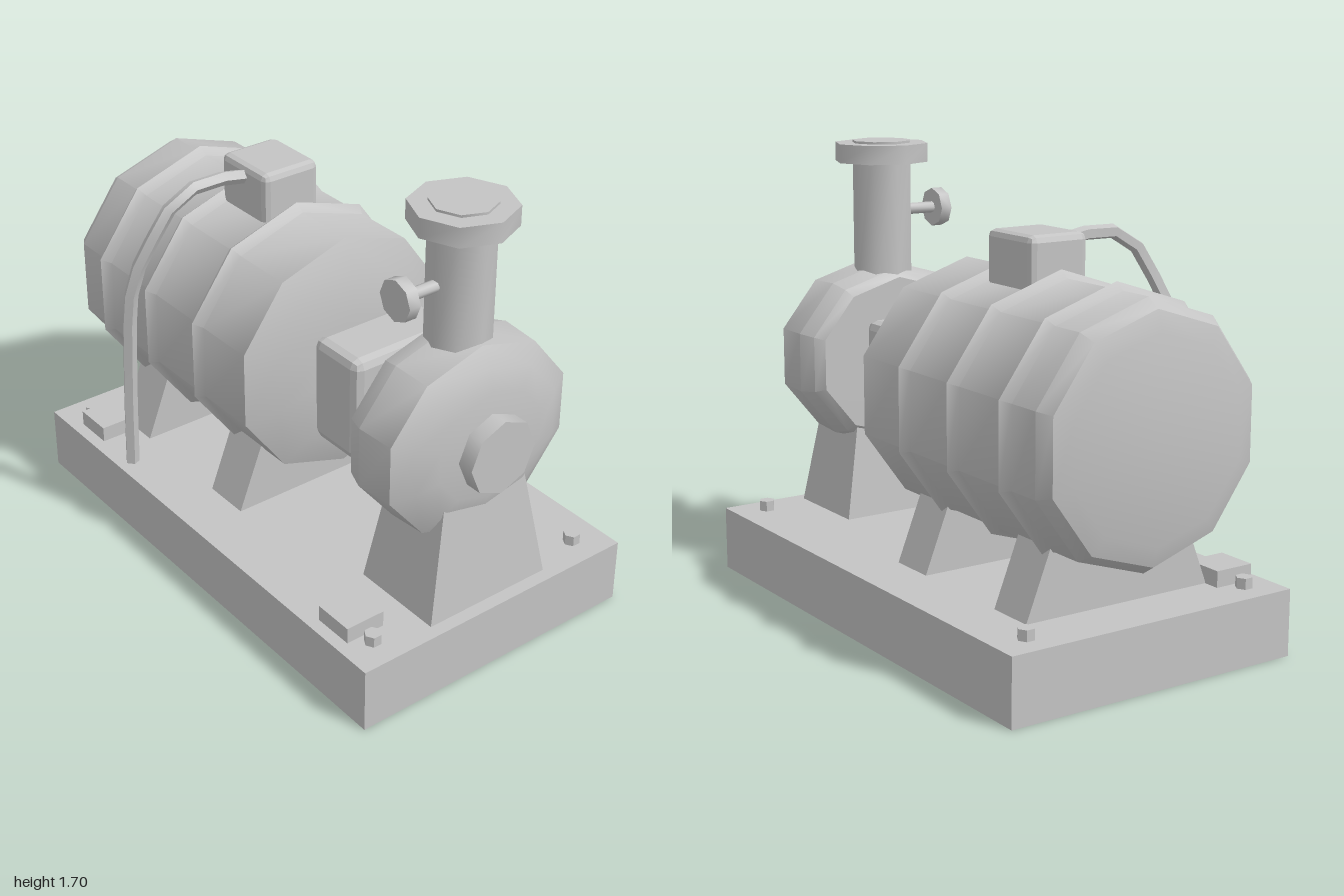
import * as THREE from 'three';
import { toCreasedNormals } from 'three/addons/utils/BufferGeometryUtils.js';
import { RoundedBoxGeometry } from 'three/addons/geometries/RoundedBoxGeometry.js';

export function createModel() {
  const model = new THREE.Group();
  const grey = new THREE.MeshStandardMaterial({ color: 0xc4c4c4, side: THREE.DoubleSide });
  grey.name = 'machineGrey';

  const add = (name, geometry, x = 0, y = 0, z = 0) => {
    const mesh = new THREE.Mesh(geometry, grey);
    mesh.name = name;
    mesh.position.set(x, y, z);
    model.add(mesh);
    return mesh;
  };

  // Ten-sided body turned about the x axis; profile is [x, radius] pairs
  const turned = (profile) => {
    const points = profile.map(([x, r]) => new THREE.Vector2(r, x));
    const g = new THREE.LatheGeometry(points, 10);
    g.rotateY(Math.PI / 2);
    g.rotateZ(-Math.PI / 2);
    return toCreasedNormals(g, 0.68);
  };

  // Box whose top is narrower than its base
  const tapered = (w, h, d, topX, topZ) => {
    const g = new THREE.BoxGeometry(w, h, d).toNonIndexed();
    const p = g.attributes.position;
    for (let i = 0; i < p.count; i++) {
      if (p.getY(i) > 0) p.setXYZ(i, p.getX(i) * topX, p.getY(i), p.getZ(i) * topZ);
    }
    g.computeVertexNormals();
    return g;
  };

  const chamfered = (w, h, d, bevel) => {
    let g = new RoundedBoxGeometry(w, h, d, 1, bevel);
    if (g.index) g = g.toNonIndexed();
    g.computeVertexNormals();
    return g;
  };

  // Upright cylinder, eased around its sides
  const round = (r, h, sides) =>
    toCreasedNormals(new THREE.CylinderGeometry(r, r, h, sides), 0.9);

  // Base tray, open underneath
  const tray = new THREE.BoxGeometry(2, 0.245, 1.17);
  const index = Array.from(tray.index.array);
  index.splice(18, 6);
  tray.setIndex(index);
  tray.clearGroups();
  add('base', tray, 0, 0.1225, -0.005);

  // Motor barrel with three ridges and shallow domed ends
  const barrel = [[-0.995, 0], [-0.99, 0.36], [-0.97, 0.43], [-0.92, 0.463]];
  for (const x of [-0.755, -0.45, -0.145]) {
    barrel.push([x - 0.035, 0.463], [x, 0.49], [x + 0.035, 0.463]);
  }
  barrel.push([0.135, 0.463], [0.182, 0.34], [0.198, 0.18], [0.2, 0]);
  add('motorBarrel', turned(barrel), 0, 0.85, -0.007);

  // Motor feet
  for (const x of [-0.695, -0.08]) {
    add('motorFoot', tapered(0.185, 0.34, 0.765, 1, 0.65), x, 0.415, -0.003);
  }

  // Terminal box and coupling guard
  add('terminalBox', chamfered(0.27, 0.28, 0.24, 0.025), -0.31, 1.32, -0.01);
  add('couplingGuard', chamfered(0.243, 0.405, 0.455, 0.035), 0.367, 0.845, -0.007);

  // Pump casing, inlet hub and pedestal
  const casing = add('pumpCasing', turned([
    [0.61, 0], [0.612, 0.35], [0.64, 0.385], [0.71, 0.41],
    [0.86, 0.4], [0.9, 0.32], [0.92, 0.23], [0.925, 0],
  ]), 0, 0.863, -0.005);
  casing.scale.y = 0.89;
  add('inletHub', round(0.14, 0.16, 8).rotateZ(Math.PI / 2), 0.905, 0.848, -0.005);
  add('pumpPedestal', tapered(0.367, 0.435, 0.52, 0.75, 0.69), 0.767, 0.4625, -0.005);

  // Outlet pipe and flange
  add('outletPipe', round(0.115, 0.59, 8), 0.735, 1.4, -0.007);
  add('outletFlange', round(0.184, 0.072, 8), 0.735, 1.65, -0.007);
  add('flangeFace', round(0.115, 0.03, 8), 0.735, 1.68, -0.007);

  // Valve stem and handwheel on the front of the pipe
  add('valveStem', round(0.022, 0.16, 8).rotateX(Math.PI / 2), 0.735, 1.42, 0.16);
  add('valveWheel', round(0.075, 0.045, 8).rotateX(Math.PI / 2), 0.735, 1.42, 0.245);

  // Cable dropping from the terminal box to the base
  const cable = new THREE.CatmullRomCurve3([
    [-0.31, 1.41, 0.08], [-0.31, 1.435, 0.24], [-0.315, 1.41, 0.38],
    [-0.35, 1.24, 0.49], [-0.39, 1.08, 0.545], [-0.42, 0.7, 0.56], [-0.432, 0.31, 0.565],
  ].map((p) => new THREE.Vector3(...p)));
  add('cable', toCreasedNormals(new THREE.TubeGeometry(cable, 12, 0.027, 5), 0.7));

  // Mounting pads along the front edge
  for (const x of [-0.773, 0.767]) {
    add('mountingPad', new THREE.BoxGeometry(0.155, 0.06, 0.155), x, 0.275, 0.455);
  }

  // Corner bolts
  for (const x of [-0.895, 0.89]) {
    for (const z of [-0.462, 0.46]) {
      add('cornerBolt', toCreasedNormals(new THREE.CylinderGeometry(0.031, 0.031, 0.045, 6), 0.5), x, 0.262, z);
    }
  }

  return model;
}
